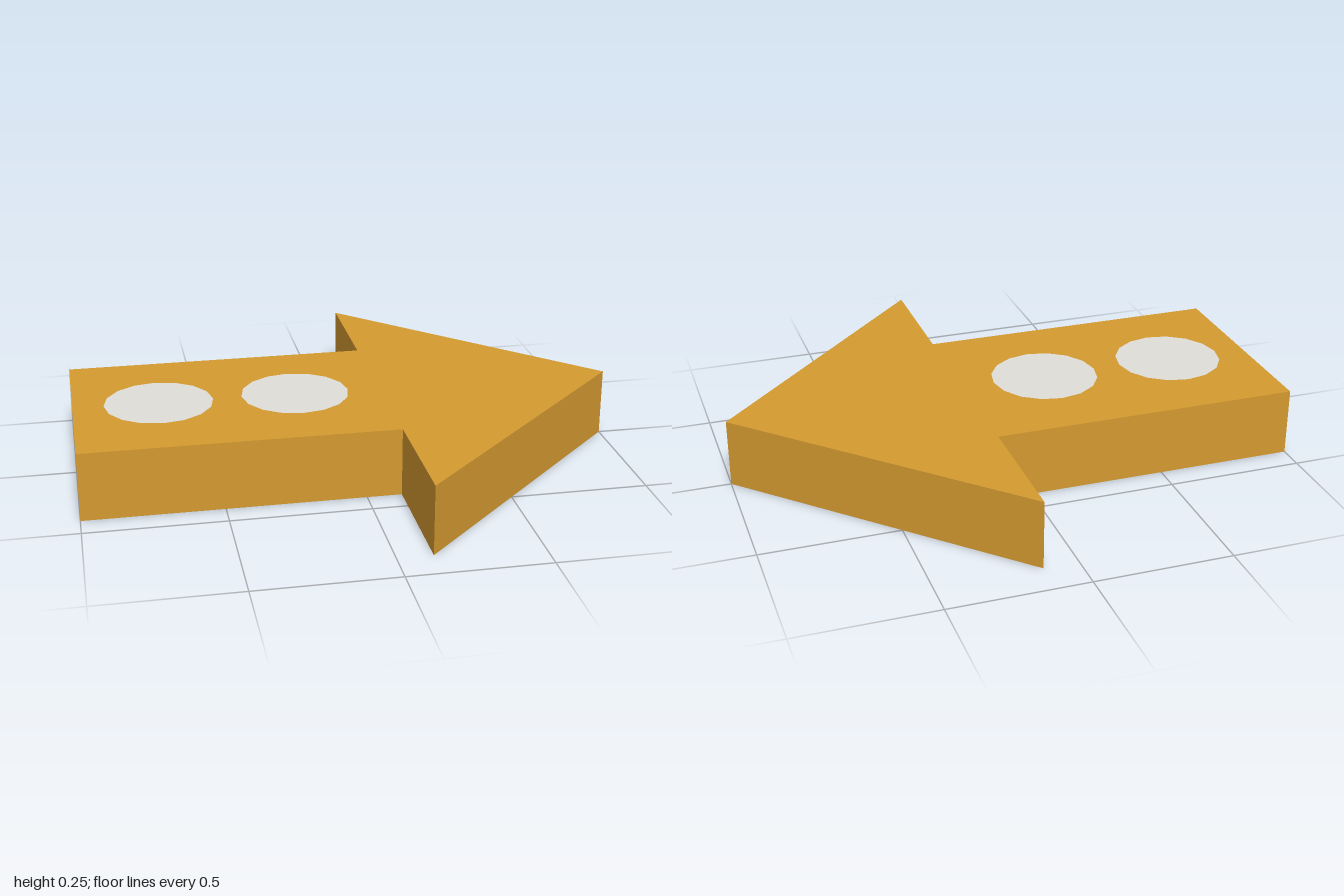
import * as THREE from 'three';

export function createModel() {
  const amber = new THREE.MeshStandardMaterial({ color: 0xd49a30 });
  amber.name = 'amber';
  const paleGrey = new THREE.MeshStandardMaterial({ color: 0xdfded9 });
  paleGrey.name = 'paleGrey';

  const group = new THREE.Group();
  group.name = 'arrowSign';
  const height = 0.25;

  // Arrow slab: outline drawn in plan, extruded upwards
  const half = [[-1, 0.405], [0.125, 0.405], [0.125, 0.875]];
  const outline = [
    ...half.map(([x, z]) => new THREE.Vector2(x, -z)),
    new THREE.Vector2(1, 0),
    ...half.map(([x, z]) => new THREE.Vector2(x, z)).reverse(),
  ];
  const slab = new THREE.ExtrudeGeometry(new THREE.Shape(outline), { depth: height, bevelEnabled: false });
  slab.rotateX(-Math.PI / 2);
  const arrow = new THREE.Mesh(slab, amber);
  arrow.name = 'arrowSlab';
  group.add(arrow);

  // Two sixteen-sided discs set into the top of the shaft
  [-0.69, -0.19].forEach((x, i) => {
    const disc = new THREE.Mesh(new THREE.CircleGeometry(0.198, 16), paleGrey);
    disc.name = i === 0 ? 'tailDisc' : 'middleDisc';
    disc.rotation.x = -Math.PI / 2;
    disc.position.set(x, height + 0.002, 0);
    group.add(disc);
  });

  return group;
}
